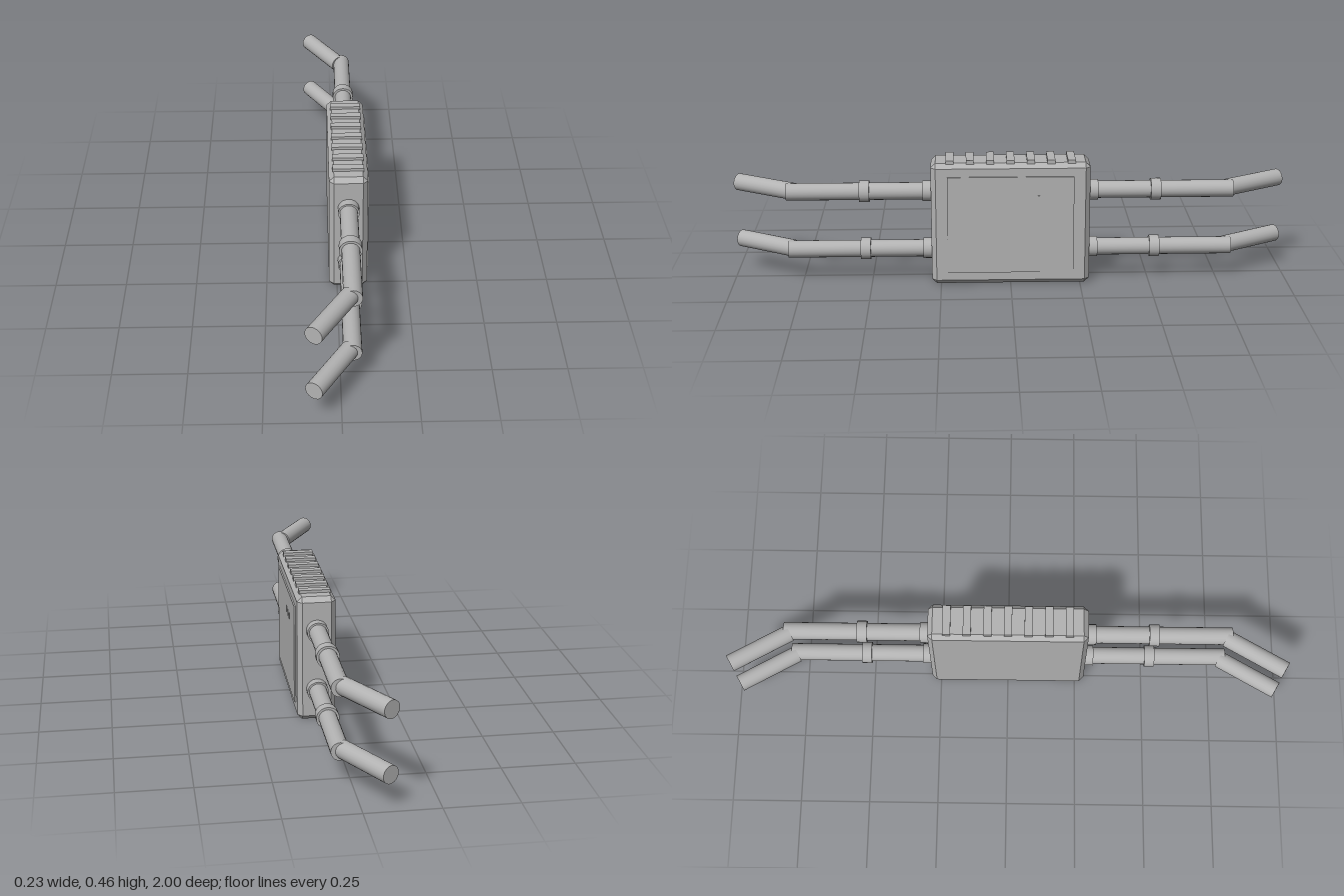
import * as THREE from 'three';
import { ConvexGeometry } from 'three/addons/geometries/ConvexGeometry.js';

export function createModel() {
  const model = new THREE.Group();
  model.name = 'pipedUnit';
  const grey = new THREE.MeshStandardMaterial({ color: 0xb3b3b3 });
  grey.name = 'plain grey';

  const add = (geometry, name, parent = model) => {
    const mesh = new THREE.Mesh(geometry, grey);
    mesh.name = name;
    parent.add(mesh);
    return mesh;
  };
  const box = (name, w, h, d, x, y, z) =>
    add(new THREE.BoxGeometry(w, h, d), name).position.set(x, y, z);

  // Box with every edge and corner chamfered by c
  function chamferedBox(w, h, d, c) {
    const points = [];
    for (const x of [-1, 1]) for (const y of [-1, 1]) for (const z of [-1, 1]) {
      for (let axis = 0; axis < 3; axis++) {
        const inset = [c, c, c];
        inset[axis] = 0;
        points.push(new THREE.Vector3(
          x * (w / 2 - inset[0]), y * (h / 2 - inset[1]), z * (d / 2 - inset[2])));
      }
    }
    return new ConvexGeometry(points);
  }

  // Capped round bar between two points
  function bar(name, radius, from, to, parent) {
    const direction = to.clone().sub(from);
    const mesh = add(new THREE.CylinderGeometry(radius, radius, direction.length(), 20), name, parent);
    mesh.position.copy(from).add(to).multiplyScalar(0.5);
    mesh.quaternion.setFromUnitVectors(new THREE.Vector3(0, 1, 0), direction.normalize());
  }

  // Housing
  const centreX = 0.039;
  add(chamferedBox(0.134, 0.452, 0.566, 0.017), 'housing').position.set(centreX, 0.226, 0);

  // Cooling ribs on top
  for (let i = -3; i <= 3; i++) box('topRib', 0.109, 0.014, 0.028, centreX, 0.455, i * 0.072);

  // Raised panel and its three small ticks
  box('sidePanel', 0.008, 0.358, 0.45, 0.107, 0.226, 0);
  for (const z of [-0.02, -0.06, -0.1]) {
    box('panelTick', 0.003, 0.022, 0.008, 0.1115, 0.325, z);
  }

  // Two bent pipes at each end, with a wall flange and a collar
  for (const side of [1, -1]) for (const y of [0.335, 0.118]) {
    const pipe = new THREE.Group();
    pipe.name = (y > 0.2 ? 'upper' : 'lower') + (side > 0 ? 'Front' : 'Back') + 'Pipe';
    model.add(pipe);
    const at = (x, z) => new THREE.Vector3(x, y, z * side);
    bar('straightPipe', 0.031, at(centreX, 0.27), at(centreX, 0.8), pipe);
    bar('bentPipe', 0.031, at(0.03, 0.781), at(-0.088, 0.985), pipe);
    bar('wallFlange', 0.037, at(centreX, 0.27), at(centreX, 0.314), pipe);
    bar('collar', 0.039, at(centreX, 0.503), at(centreX, 0.539), pipe);
  }
  return model;
}
